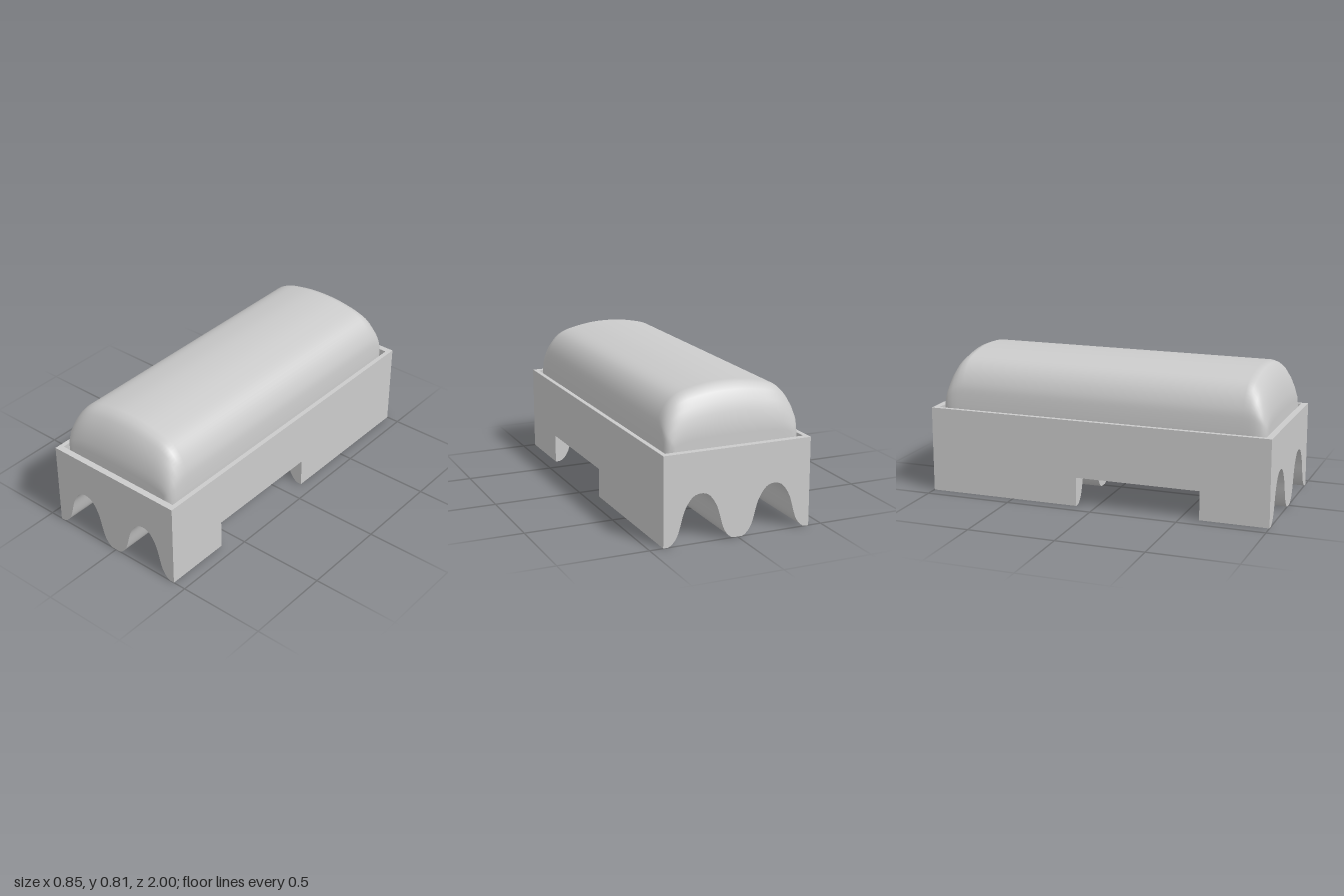
import * as THREE from 'three';
import { toCreasedNormals } from 'three/addons/utils/BufferGeometryUtils.js';

const HALF = 0.424, FLOOR = 0.34, RIM = 0.492;
const material = new THREE.MeshStandardMaterial({ color: 0xcccccc });

const sample = (pts, n) =>
  new THREE.SplineCurve(pts.map(([x, y]) => new THREE.Vector2(x, y))).getPoints(n);

// Underside wave: two arches side by side, from x = -HALF to +HALF
function wavePoints() {
  const side = [[-0.212, 0], [-0.18, 0.002], [-0.152, 0.025], [-0.133, 0.055], [-0.118, 0.1],
    [-0.103, 0.155], [-0.088, 0.195], [-0.063, 0.235], [-0.037, 0.259]];
  const arch = sample([...side, [0, 0.268], ...side.map(([x, y]) => [-x, y]).reverse()], 44);
  return [-0.212, 0.212].flatMap((cx, i) =>
    arch.slice(i).map(p => new THREE.Vector2(p.x + cx, Math.max(0, p.y))));
}

// One length of the base, closed on top by the tray floor
function baseSection(name, z0, z1, lift) {
  const shape = new THREE.Shape([
    ...wavePoints().map(p => new THREE.Vector2(p.x, lift(p.y))),
    new THREE.Vector2(HALF, FLOOR),
    new THREE.Vector2(-HALF, FLOOR),
  ]);
  const geo = new THREE.ExtrudeGeometry(shape, { depth: z1 - z0, bevelEnabled: false });
  geo.translate(0, 0, z0);
  const mesh = new THREE.Mesh(toCreasedNormals(geo, 0.6), material);
  mesh.name = name;
  return mesh;
}

const rect = (w, d) => [[-w, -d], [w, -d], [w, d], [-w, d]].map(([x, y]) => new THREE.Vector2(x, y));

// Thin wall around the tray
function trayRim() {
  const shape = new THREE.Shape(rect(HALF, 1));
  shape.holes.push(new THREE.Path(rect(0.398, 0.963).reverse()));
  const geo = new THREE.ExtrudeGeometry(shape, { depth: RIM - FLOOR, bevelEnabled: false });
  geo.rotateX(-Math.PI / 2).translate(0, FLOOR, 0);
  const mesh = new THREE.Mesh(geo, material);
  mesh.name = 'trayRim';
  return mesh;
}

// Domed cushion: arched cross-sections along z, drawn in at both ends
function cushion() {
  const half = [[0.39, RIM], [0.387, 0.56], [0.378, 0.625], [0.35, 0.69], [0.308, 0.74],
    [0.255, 0.77], [0.18, 0.789], [0.09, 0.803]];
  const top = 0.807;
  const arch = sample([...half, [0, top], ...half.map(([x, y]) => [-x, y]).reverse()], 48);
  // z, half width, crown height
  const end = [[0.955, 0.34, FLOOR], [0.955, 0.34, 0.55], [0.948, 0.362, 0.61], [0.935, 0.376, 0.665],
    [0.917, 0.385, 0.715], [0.89, 0.389, 0.765], [0.86, 0.39, 0.795], [0.825, 0.39, top]];
  const rings = [...end, ...end.map(([z, w, h]) => [-z, w, h]).reverse()];
  const pos = [], index = [];
  for (const [z, w, h] of rings) {
    const ring = arch.map(p => [p.x * w / 0.39, RIM + (p.y - RIM) * (Math.max(h, RIM) - RIM) / (top - RIM)]);
    ring.unshift([w, FLOOR]);
    ring.push([-w, FLOOR]);
    for (const [x, y] of ring) pos.push(x, h === FLOOR ? FLOOR : y, z);
  }
  const n = arch.length + 2;
  for (let r = 0; r < rings.length - 1; r++) {
    for (let i = 0; i < n - 1; i++) {
      const a = r * n + i, b = a + n;
      index.push(a, b, a + 1, b, b + 1, a + 1);
    }
  }
  const geo = new THREE.BufferGeometry();
  geo.setAttribute('position', new THREE.Float32BufferAttribute(pos, 3));
  geo.setIndex(index);
  geo.computeVertexNormals();
  const mesh = new THREE.Mesh(geo, material.clone());
  mesh.material.side = THREE.DoubleSide;
  mesh.position.z = 0.004;
  mesh.name = 'cushion';
  return mesh;
}

export function createModel() {
  const group = new THREE.Group();
  group.name = 'cushionedTray';
  group.add(
    baseSection('frontBase', 0.608, 1, y => y),
    // Raised middle, open from side to side
    baseSection('middleBase', -0.112, 0.608, y => Math.max(0.165, y * 1.06)),
    baseSection('rearBase', -1, -0.112, y => y),
    trayRim(),
    cushion(),
  );
  return group;
}
